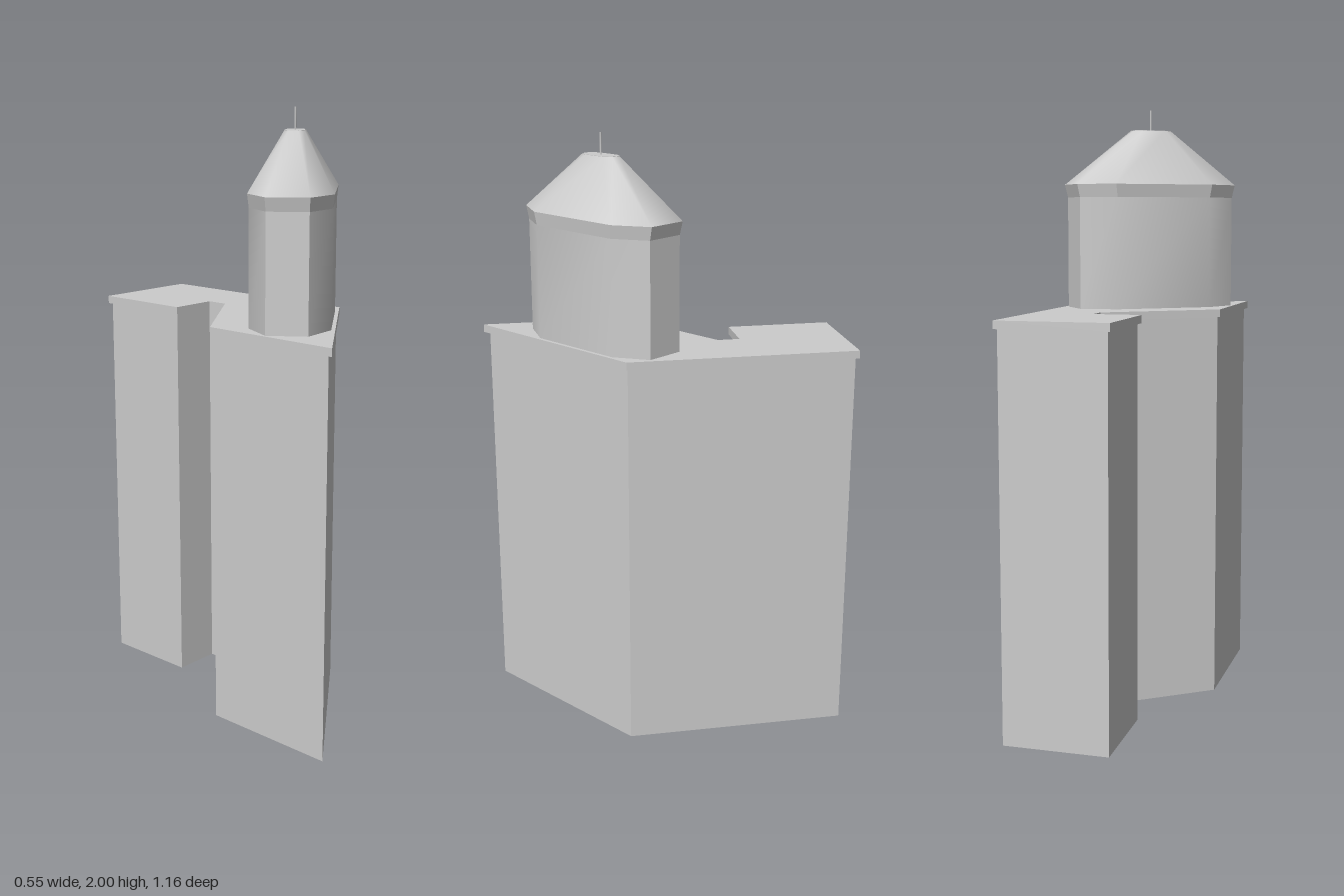
import * as THREE from 'three';
import { toCreasedNormals } from 'three/addons/utils/BufferGeometryUtils.js';

// Plan outlines as [x, z], clockwise seen from above
const ROOF_PLAN = [
  [-0.275, 0.09], [0.067, -0.165], [0.067, -0.238], [-0.092, -0.238],
  [-0.092, -0.582], [0.275, -0.582], [0.275, 0.17], [-0.275, 0.577],
];
const BODY_PLAN = [
  [-0.265, 0.096], [0.077, -0.16], [0.077, -0.248], [-0.082, -0.248],
  [-0.082, -0.572], [0.265, -0.572], [0.265, 0.165], [-0.265, 0.557],
];
const EAVE_PLAN = [
  [0.058, -0.009], [0.19, -0.022], [0.27, 0.088], [0.215, 0.205],
  [-0.064, 0.411], [-0.196, 0.425], [-0.275, 0.315], [-0.221, 0.197],
];
const CENTRE = [-0.003, 0.202];

// Shrinks a plan around the tower centre
const scalePlan = (plan, s) =>
  plan.map((p) => p.map((v, i) => CENTRE[i] + (v - CENTRE[i]) * s));

// Walls joining two outlines at different heights
function loft(lower, y0, upper, y1, crease = 0.01) {
  const pos = [];
  lower.forEach(([x, z], i) => {
    const j = (i + 1) % lower.length;
    const a = [x, y0, z];
    const b = [lower[j][0], y0, lower[j][1]];
    const c = [upper[j][0], y1, upper[j][1]];
    const d = [upper[i][0], y1, upper[i][1]];
    pos.push(...a, ...d, ...b, ...b, ...d, ...c);
  });
  const geo = new THREE.BufferGeometry();
  geo.setAttribute('position', new THREE.Float32BufferAttribute(pos, 3));
  geo.computeVertexNormals();
  return toCreasedNormals(geo, crease);
}

// Solid slab from an outline
function slab(plan, y0, y1) {
  const shape = new THREE.Shape(plan.map(([x, z]) => new THREE.Vector2(x, -z)));
  const geo = new THREE.ExtrudeGeometry(shape, { depth: y1 - y0, bevelEnabled: false });
  return geo.rotateX(-Math.PI / 2).translate(0, y0, 0);
}

export function createModel() {
  const model = new THREE.Group();
  model.name = 'towerBlock';
  const grey = new THREE.MeshStandardMaterial({ color: 0xcccccc, side: THREE.DoubleSide });
  grey.name = 'lightGrey';

  const add = (name, geo) => {
    const mesh = new THREE.Mesh(geo, grey);
    mesh.name = name;
    model.add(mesh);
  };

  // Main block, open underneath, with an overhanging flat roof
  add('blockWalls', loft(BODY_PLAN, 0, BODY_PLAN, 1.306));
  add('flatRoof', slab(ROOF_PLAN, 1.306, 1.332));

  // Stretched octagonal tower with flared eave
  const wallPlan = scalePlan(EAVE_PLAN, 0.965);
  const capPlan = scalePlan(EAVE_PLAN, 0.235);
  add('towerWalls', loft(wallPlan, 1.332, wallPlan, 1.705, 0.75));
  add('towerEave', loft(wallPlan, 1.705, EAVE_PLAN, 1.748));
  add('towerRoof', loft(EAVE_PLAN, 1.748, capPlan, 1.93, 0.9));
  add('towerRoofCap', slab(capPlan, 1.925, 1.931));

  // Thin mast
  const mast = new THREE.CylinderGeometry(0.003, 0.003, 0.07, 8);
  add('mast', mast.translate(CENTRE[0], 1.965, CENTRE[1]));

  return model;
}
